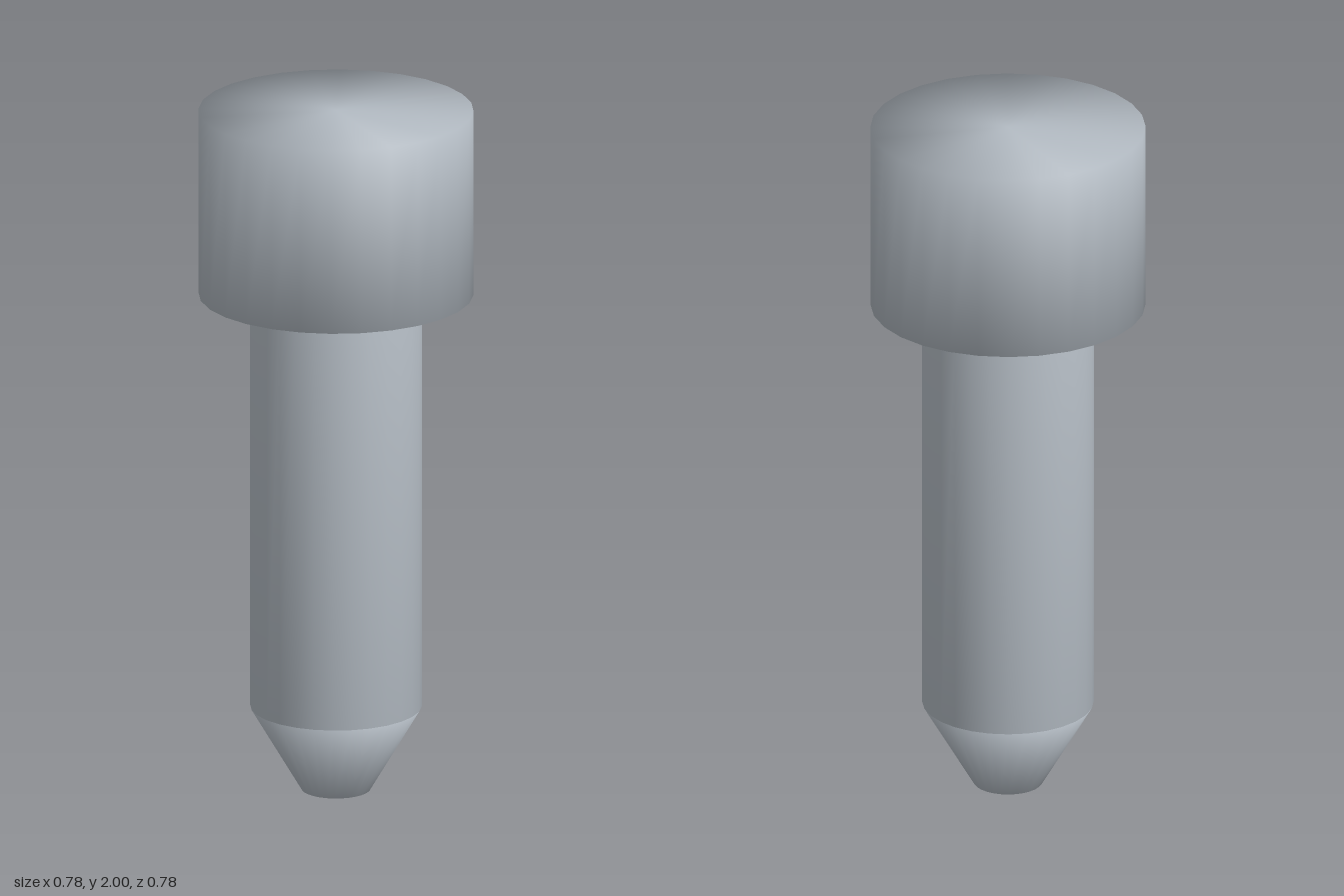
import * as THREE from 'three';
import { mergeVertices } from 'three/addons/utils/BufferGeometryUtils.js';

const SIDES = 28;

// Closed round section from y0 to y1, with normals smoothed over its rims
function roundSection(name, rBottom, rTop, y0, y1, material) {
  const raw = new THREE.CylinderGeometry(rTop, rBottom, y1 - y0, SIDES);
  raw.deleteAttribute('normal');
  raw.deleteAttribute('uv');
  raw.clearGroups();
  const geometry = mergeVertices(raw, 1e-4);
  geometry.computeVertexNormals();
  const mesh = new THREE.Mesh(geometry, material);
  mesh.name = name;
  mesh.position.y = (y0 + y1) / 2;
  return mesh;
}

export function createModel() {
  const steel = new THREE.MeshStandardMaterial({ color: 0xb4bcc4 });
  steel.name = 'steel';

  const pin = new THREE.Group();
  pin.name = 'headedPin';
  pin.add(
    roundSection('taperedTip', 0.097, 0.242, 0, 0.245, steel),
    roundSection('shank', 0.242, 0.242, 0.245, 1.46, steel),
    roundSection('head', 0.388, 0.388, 1.46, 2, steel),
  );
  return pin;
}
